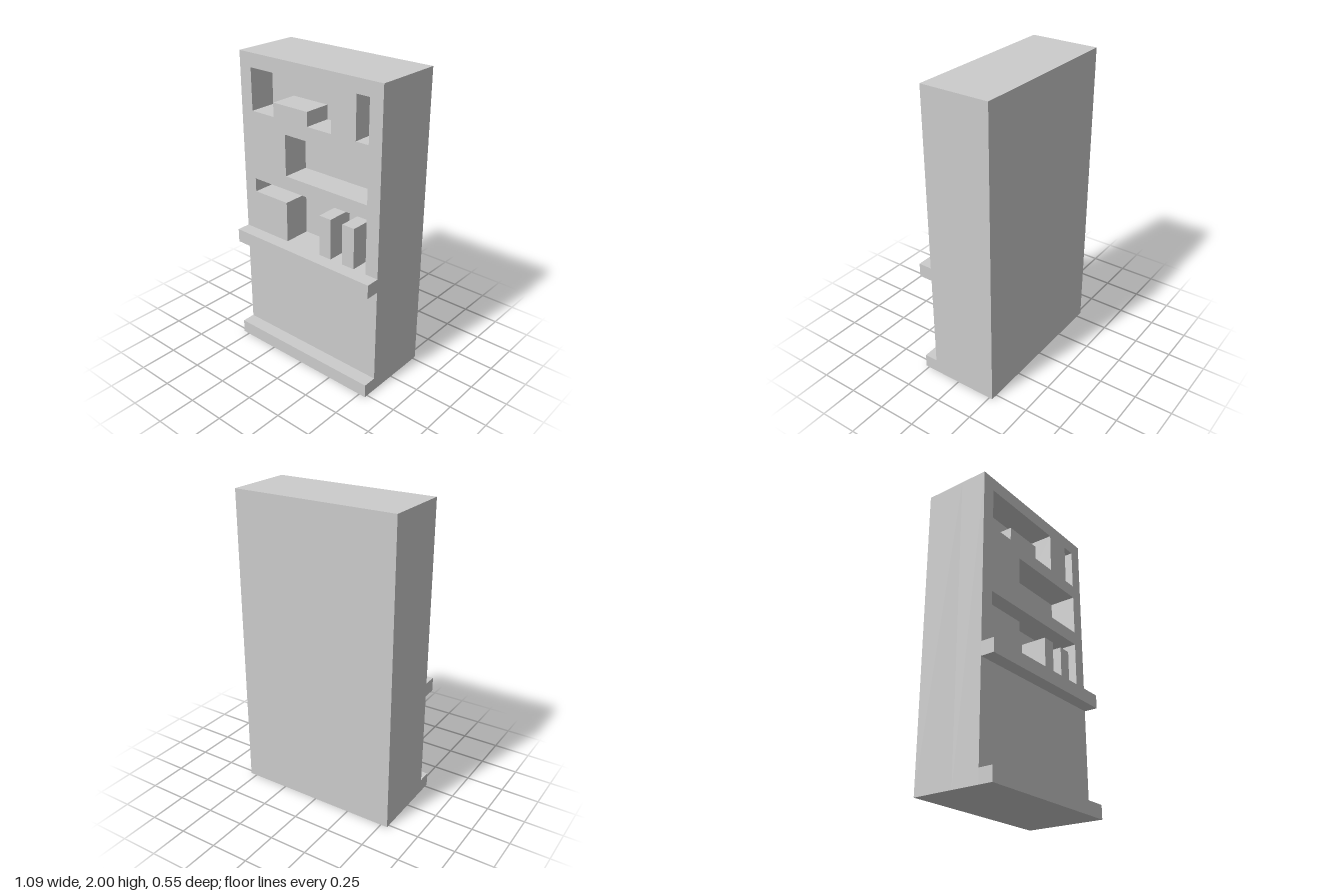
import * as THREE from 'three';

// All sizes are whole modules: the cabinet is 12 wide, 22 high, 6 deep
const U = 2 / 22;

export function createModel() {
  const group = new THREE.Group();
  const material = new THREE.MeshStandardMaterial({ color: 0xcccccc, flatShading: true });

  const add = (name, geometry) => {
    geometry.scale(U, U, U);
    const mesh = new THREE.Mesh(geometry, material);
    mesh.name = name;
    group.add(mesh);
  };
  const bar = (name, y0, y1, z0, z1) => {
    const geometry = new THREE.BoxGeometry(12, y1 - y0, z1 - z0);
    geometry.translate(0, (y0 + y1) / 2, (z0 + z1) / 2);
    add(name, geometry);
  };
  const points = (list) => list.map(([x, y]) => new THREE.Vector2(x, y));

  // Solid back half, closing the niches
  bar('backBody', 0, 22, -3, 0);

  // Front half with niches cut through it
  const front = new THREE.Shape(points([[-6, 0], [6, 0], [6, 22], [-6, 22]]));
  const niches = [
    // top niche with a raised step
    [[-5, 18], [-3, 18], [-3, 19], [0, 19], [0, 18], [2, 18], [2, 21], [-5, 21]],
    // narrow top slot
    [[4, 18], [5, 18], [5, 21], [4, 21]],
    // middle niche
    [[-2, 14], [5, 14], [5, 17], [-2, 17]],
    // counter niche with a ledge and two upright blocks
    [[-2, 9], [1, 9], [1, 12], [2, 12], [2, 9], [3, 9], [3, 12], [4, 12], [4, 9],
      [5, 9], [5, 13], [-5, 13], [-5, 12], [-2, 12]],
  ];
  front.holes = niches.map((niche) => new THREE.Path(points(niche)));
  add('frontPanel', new THREE.ExtrudeGeometry(front, { depth: 2, bevelEnabled: false }));

  // Projecting ledges
  bar('counterShelf', 8, 9, 2, 3);
  bar('plinth', 0, 1, 2, 3);

  return group;
}
